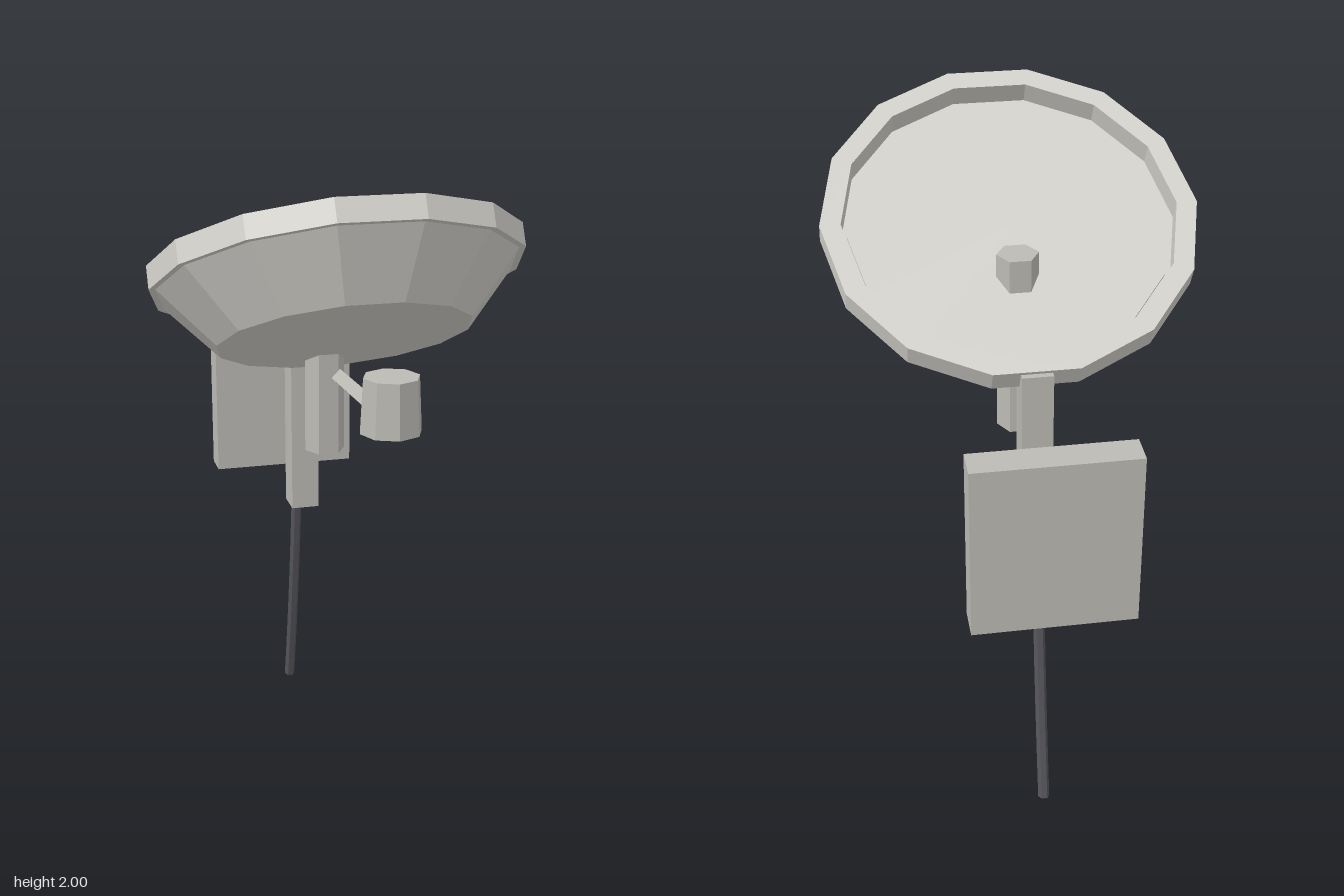
import * as THREE from 'three';

const material = (name, color) => {
  const m = new THREE.MeshStandardMaterial({ color, flatShading: true });
  m.name = name;
  return m;
};

export function createModel() {
  const dishPaint = material('pale warm grey', 0xd2d0ca);
  const metal = material('mid grey', 0xbcbab4);
  const rubber = material('dark grey', 0x55555a);

  const model = new THREE.Group();
  model.name = 'satelliteDish';

  const add = (name, geometry, mat, x = 0, y = 0, z = 0, parent = model) => {
    const mesh = new THREE.Mesh(geometry, mat);
    mesh.name = name;
    mesh.position.set(x, y, z);
    parent.add(mesh);
    return mesh;
  };

  // Tilted dish: origin at the centre of the rim's upper face
  const SIDES = 14;
  const dish = new THREE.Group();
  dish.name = 'dish';
  dish.position.set(0, 1.735, 0.058);
  dish.rotation.x = -0.497;
  model.add(dish);
  const facet = (geometry) => geometry.rotateY(Math.PI / SIDES);

  const rimProfile = [
    [0.57, -0.073], [0.57, 0], [0.507, 0], [0.507, -0.073], [0.57, -0.073],
  ].map(([r, y]) => new THREE.Vector2(r, y));
  add('rim', facet(new THREE.LatheGeometry(rimProfile, SIDES)), dishPaint, 0, 0, 0, dish);
  add('bowl', facet(new THREE.CylinderGeometry(0.55, 0.388, 0.18, SIDES)), dishPaint, 0, -0.163, 0, dish);
  add('dishFloor', facet(new THREE.CylinderGeometry(0.49, 0.49, 0.009, SIDES)), dishPaint, 0, -0.0685, 0, dish);

  // Receiver in front of the dish
  add('receiver', new THREE.CylinderGeometry(0.08, 0.088, 0.157, 8), metal, 0, 1.455, 0.678);

  // Diamond-section arm reaching back from the receiver
  const armStart = new THREE.Vector3(0, 1.374, 0.127);
  const armEnd = new THREE.Vector3(0, 1.404, 0.66);
  const armDir = armEnd.clone().sub(armStart);
  const arm = add('receiverArm', new THREE.CylinderGeometry(0.027, 0.027, armDir.length(), 4), metal);
  arm.position.copy(armStart).add(armEnd).multiplyScalar(0.5);
  arm.quaternion.setFromUnitVectors(new THREE.Vector3(0, 1, 0), armDir.normalize());

  // Hexagonal post through the dish
  add('post', new THREE.CylinderGeometry(0.064, 0.064, 0.585, 6).rotateY(Math.PI / 6), metal, 0, 1.3725, -0.07);

  // Rear support and wall plate
  add('supportBar', new THREE.BoxGeometry(0.092, 0.685, 0.1), metal, 0, 1.1175, -0.395);
  add('wallPlate', new THREE.BoxGeometry(0.485, 0.552, 0.098), metal, 0, 1.098, -0.72);

  // Hanging cable with a closed lower end
  const path = new THREE.CatmullRomCurve3([
    [1.17, -0.425], [0.85, -0.468], [0.5, -0.52], [0.22, -0.573], [0.004, -0.622],
  ].map(([y, z]) => new THREE.Vector3(0, y, z)));
  add('cable', new THREE.TubeGeometry(path, 10, 0.018, 6), rubber);
  const cap = add('cableEnd', new THREE.CircleGeometry(0.018, 6), rubber);
  cap.position.copy(path.getPoint(1));
  cap.quaternion.setFromUnitVectors(new THREE.Vector3(0, 0, 1), path.getTangent(1));

  return model;
}
